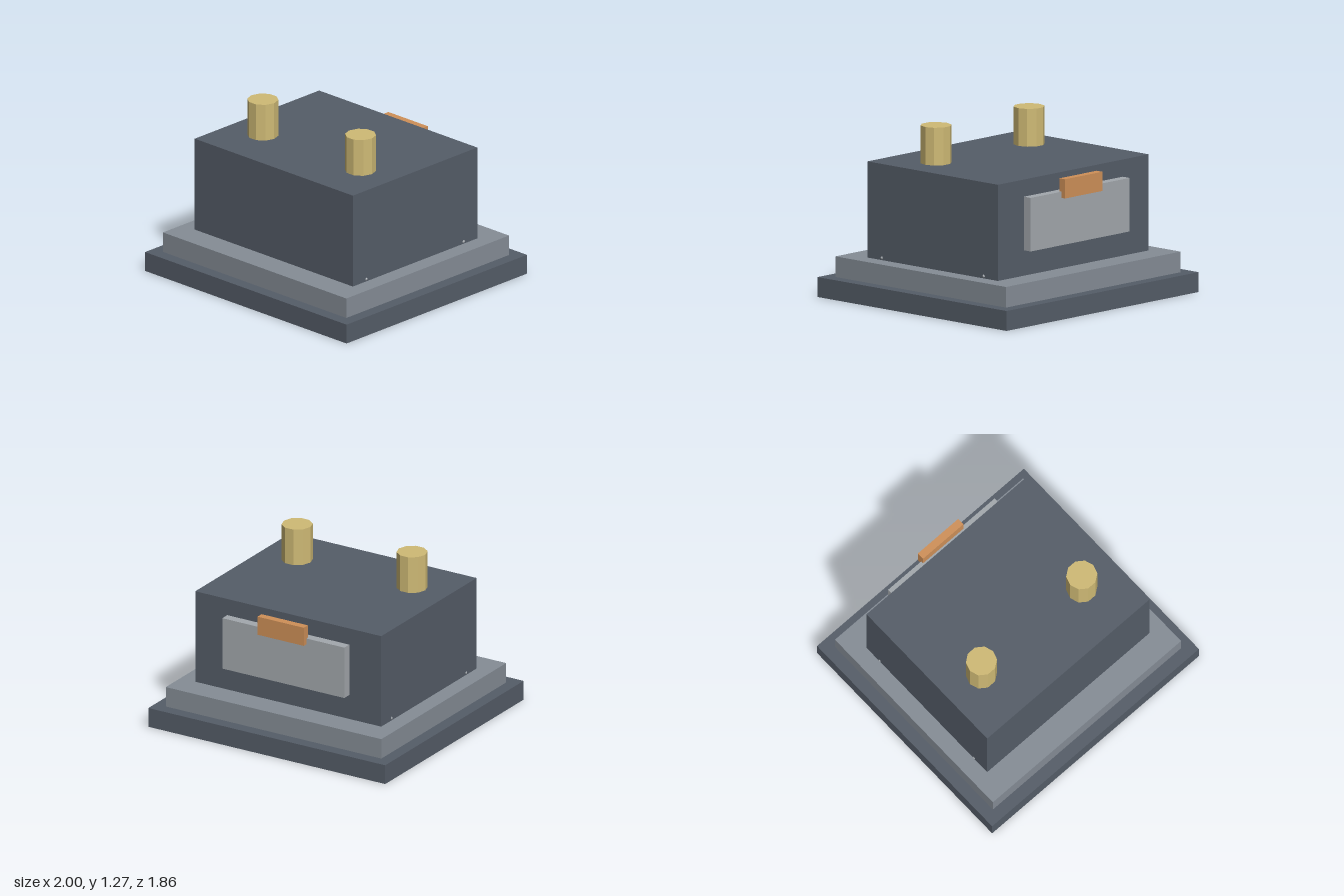
import * as THREE from 'three';

const material = (color) => new THREE.MeshStandardMaterial({ color, flatShading: true });

export function createModel() {
  const model = new THREE.Group();
  const dark = material(0x555d68);
  const steel = material(0x858d96);
  const pale = material(0xa3a8ad);
  const brass = material(0xcfba75);
  const copper = material(0xcf9058);

  const add = (name, geometry, mat, x, y, z) => {
    const mesh = new THREE.Mesh(geometry, mat);
    mesh.name = name;
    mesh.position.set(x, y, z);
    model.add(mesh);
    return mesh;
  };

  // Box given by its width, vertical range and depth range
  const block = (name, mat, width, y0, y1, z0, z1) =>
    add(name, new THREE.BoxGeometry(width, y1 - y0, z1 - z0), mat, 0, (y0 + y1) / 2, (z0 + z1) / 2);

  // Stepped plinth and main body
  block('basePlate', dark, 2, 0, 0.145, -0.928, 0.928);
  block('upperPlate', steel, 1.82, 0.145, 0.295, -0.837, 0.837);
  block('body', dark, 1.57, 0.295, 0.995, -0.64, 0.64);

  // Rear panel with its raised tab
  block('rearPanel', pale, 1.03, 0.48, 0.87, -0.707, -0.64);
  block('rearTab', copper, 0.39, 0.825, 0.965, -0.742, -0.687);

  for (const side of [1, -1]) {
    // Ten-sided posts on the top face
    const post = new THREE.CylinderGeometry(0.112, 0.112, 0.275, 10).rotateY(Math.PI / 2);
    add(side > 0 ? 'leftPost' : 'rightPost', post, brass, side * 0.485, 1.1325, 0.25);

    // Tiny rivets along the foot of each side wall
    for (const z of [0.5, -0.5]) {
      const rivet = new THREE.SphereGeometry(0.013, 6, 5);
      add('rivet', rivet, pale, side * 0.78, 0.311, z);
    }
  }

  return model;
}
